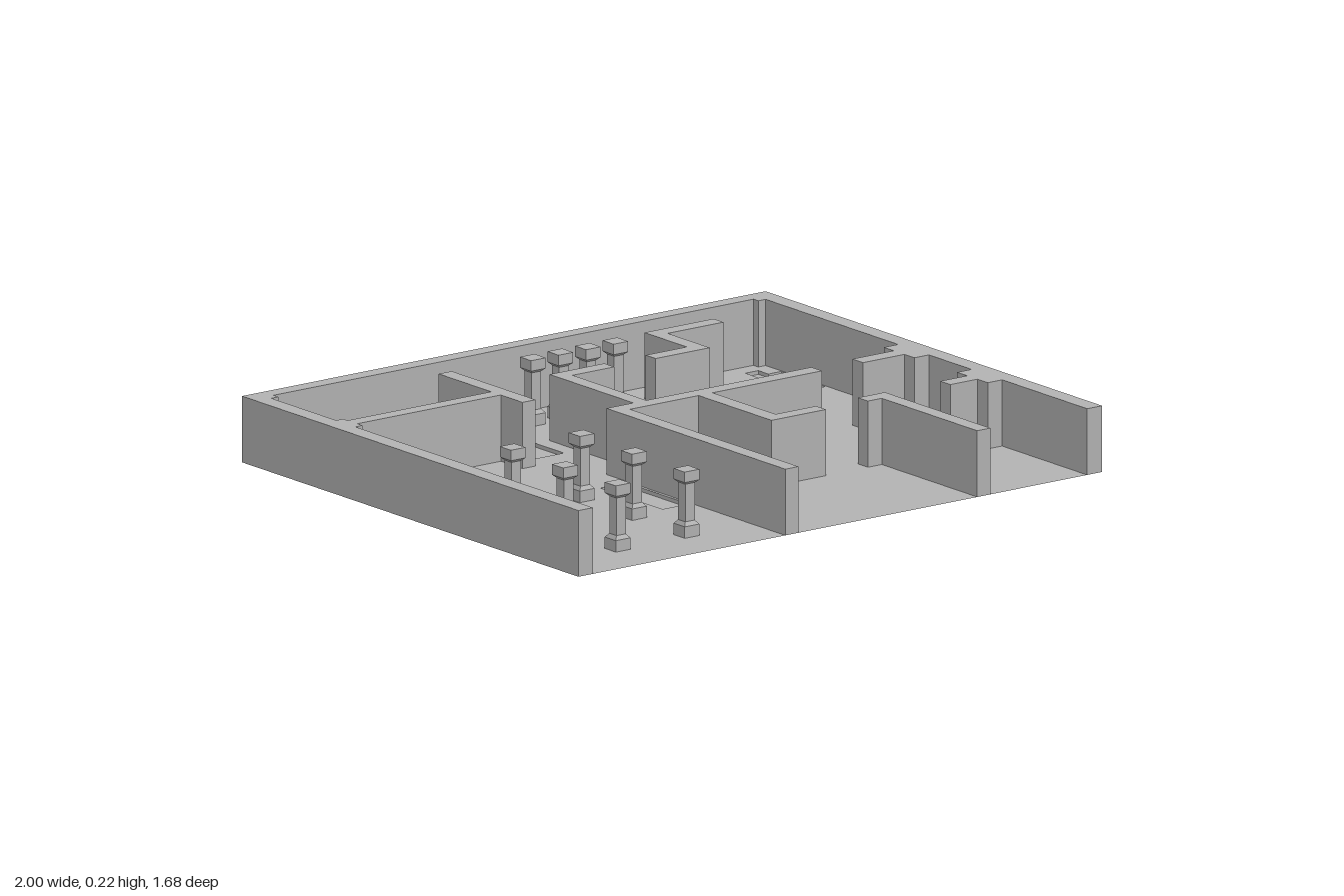
import * as THREE from 'three';

const FLOOR = 0.012, TOP = 0.22, FRONT = 0.838;
const stone = new THREE.MeshStandardMaterial({ color: 0xb2b2b2, flatShading: true, side: THREE.DoubleSide });
stone.name = 'grey stone';

const outline = (pts) => new THREE.Shape(pts.map(([x, z]) => new THREE.Vector2(x, z)));

function addMesh(parent, geometry, name) {
  const mesh = new THREE.Mesh(geometry, stone);
  mesh.name = name;
  parent.add(mesh);
  return mesh;
}

// Wall: plan outline in x, z raised from the floor to the common top
function addWall(parent, name, pts) {
  const geo = new THREE.ExtrudeGeometry(outline(pts), { depth: TOP - FLOOR, bevelEnabled: false });
  addMesh(parent, geo.rotateX(Math.PI / 2).translate(0, TOP, 0), name);
}

// Flat plan surface at a given height
const flat = (shape, y) => new THREE.ShapeGeometry(shape).rotateX(Math.PI / 2).translate(0, y, 0);

// Square column with flared base and capital
function addColumn(parent, x, z) {
  const r = Math.SQRT2;
  const profile = [[0, FLOOR], [0.028, FLOOR], [0.028, 0.048], [0.018, 0.06], [0.018, 0.178],
    [0.028, 0.187], [0.028, TOP], [0, TOP]].map(([w, y]) => new THREE.Vector2(w * r, y));
  const geo = new THREE.LatheGeometry(profile, 4, Math.PI / 4).translate(x, 0, z);
  addMesh(parent, geo, 'column');
}

// Shallow sunken tray: bottom plus a rim along every edge
function addTray(parent, pts) {
  addMesh(parent, flat(outline(pts), 0), 'sunkenFloor');
  pts.forEach(([x, z], i) => {
    const [nx, nz] = pts[(i + 1) % pts.length];
    const dx = nx - x, dz = nz - z;
    const rim = addMesh(parent, new THREE.PlaneGeometry(Math.hypot(dx, dz), FLOOR), 'sunkenFloorRim');
    rim.position.set((x + nx) / 2, FLOOR / 2, (z + nz) / 2);
    rim.rotation.y = -Math.atan2(dz, dx);
  });
}

// Rectangle with one notched corner
const notched = (x0, z0, x1, z1, n = 0.05) =>
  [[x0, z0], [x1 - n, z0], [x1 - n, z0 + n], [x1, z0 + n], [x1, z1], [x0, z1]];

export function createModel() {
  const group = new THREE.Group();
  group.name = 'floorPlan';

  // Floor with openings for the sunken areas
  const trays = [
    notched(0.84, -0.73, 0.94, -0.46),
    [[0.26, -0.41], [0.57, -0.41], [0.57, -0.05], [0.31, -0.05], [0.31, -0.28], [0.26, -0.28]],
    notched(-0.32, -0.57, -0.16, -0.33),
    notched(-0.32, 0.06, -0.22, 0.37),
    notched(-0.94, -0.05, -0.81, 0.35),
    notched(-0.94, -0.73, -0.68, -0.49),
  ];
  const floor = outline([[-1, -FRONT], [1, -FRONT], [1, FRONT], [-1, FRONT]]);
  trays.forEach((t) => floor.holes.push(outline(t)));
  addMesh(group, flat(floor, FLOOR), 'floor');
  trays.forEach((t) => addTray(group, t));

  // Outer walls with door stubs, corner posts and the cross wall
  addWall(group, 'outerWall', [
    [-1, FRONT], [-1, -FRONT], [1, -FRONT], [1, FRONT], [0.943, FRONT],
    [0.943, 0.415], [0.888, 0.415], [0.888, 0.363], [0.785, 0.363], [0.785, 0.313], [0.888, 0.313],
    [0.888, 0.262], [0.943, 0.262], [0.943, 0.05], [0.888, 0.05], [0.888, 0], [0.73, 0],
    [0.73, -0.053], [0.888, -0.053], [0.888, -0.103], [0.943, -0.103],
    [0.943, -0.763], [0.915, -0.763], [0.915, -0.787], [-0.918, -0.787], [-0.918, -0.763],
    [-0.945, -0.763], [-0.945, -0.44], [-0.918, -0.44], [-0.918, -0.418], [-0.37, -0.418],
    [-0.37, -0.68], [-0.32, -0.68], [-0.32, -0.262], [-0.37, -0.262], [-0.37, -0.37],
    [-0.918, -0.37], [-0.918, -0.345], [-0.945, -0.345], [-0.945, FRONT],
  ]);

  // Inner partitions
  addWall(group, 'centralPartition', [
    [-0.21, FRONT], [-0.21, -0.053], [-0.107, -0.053], [-0.107, -0.47], [0.102, -0.47],
    [0.102, -0.42], [-0.058, -0.42], [-0.058, -0.053], [0.573, -0.053], [0.573, 0],
    [0.155, 0], [0.155, 0.313], [0.31, 0.313], [0.31, 0.363], [0.102, 0.363], [0.102, 0],
    [-0.16, 0], [-0.16, FRONT],
  ]);
  addWall(group, 'backPartition', [
    [0.26, -0.47], [0.417, -0.47], [0.417, -0.68], [0.68, -0.68], [0.68, -0.63],
    [0.467, -0.63], [0.467, -0.42], [0.26, -0.42],
  ]);
  addWall(group, 'frontPartition', [
    [0.47, 0.313], [0.573, 0.313], [0.573, FRONT], [0.523, FRONT], [0.523, 0.363], [0.47, 0.363],
  ]);

  // Hall columns and the back row of columns
  for (const x of [-0.708, -0.445]) for (const z of [0.13, 0.39, 0.652]) addColumn(group, x, z);
  for (let i = 0; i < 4; i++) addColumn(group, -0.027 + i * 0.105, -0.658);

  return group;
}
